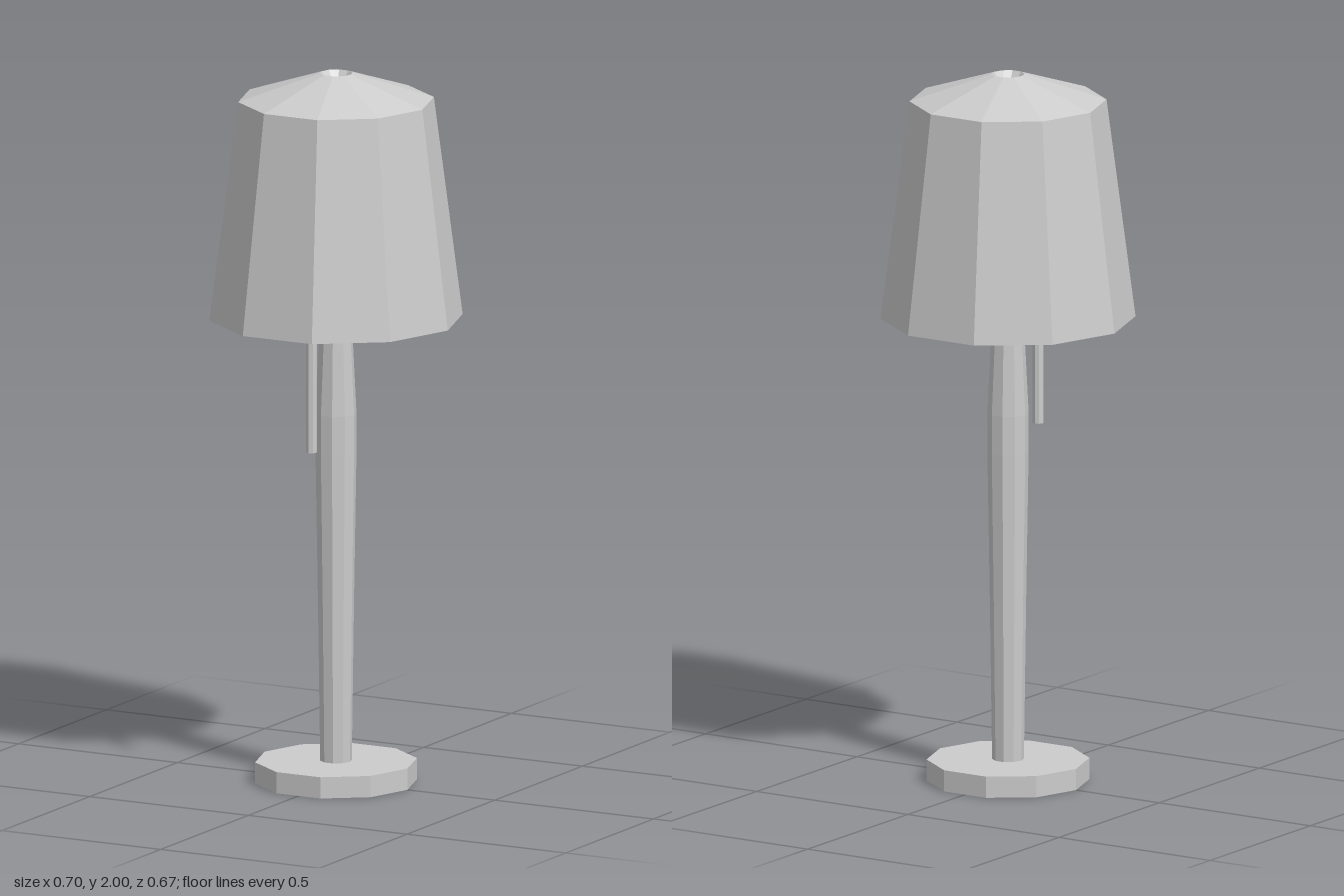
import * as THREE from 'three';

const SIDES = 10;

export function createModel() {
  const lamp = new THREE.Group();
  lamp.name = 'tableLamp';

  const solid = new THREE.MeshStandardMaterial({ color: 0xcccccc, flatShading: true });
  const thin = solid.clone();
  thin.side = THREE.DoubleSide;

  // Turned part from [radius, height] pairs, with one corner on the x axis
  function turned(name, profile, material) {
    const points = profile.map(([r, y]) => new THREE.Vector2(r, y));
    const mesh = new THREE.Mesh(new THREE.LatheGeometry(points, SIDES, Math.PI / 2), material);
    mesh.name = name;
    lamp.add(mesh);
    return mesh;
  }

  // Flat foot
  turned('base', [[0, 0], [0.225, 0], [0.225, 0.06], [0, 0.06]], solid);

  // Gently swelling column
  turned('stem', [[0.044, 0.06], [0.05, 0.5], [0.057, 0.93], [0.057, 1.04], [0.045, 1.28], [0.044, 1.34]], thin);

  // Funnel that carries the shade from the top of the stem
  turned('shadeSupport', [[0.044, 1.31], [0.304, 1.67]], thin);

  // Open shade with sloping roof and a small recess at the top
  turned('shade', [[0.352, 1.31], [0.272, 1.925], [0.046, 2]], thin);
  turned('topRecess', [[0.046, 2], [0.031, 1.98], [0, 1.98]], thin);

  // Pull cord hanging from the support
  const top = 1.56, bottom = 0.97;
  const cord = new THREE.Mesh(new THREE.CylinderGeometry(0.016, 0.016, top - bottom, 8), solid);
  cord.name = 'pullCord';
  cord.position.set(0.03, (top + bottom) / 2, 0.195);
  lamp.add(cord);

  return lamp;
}
